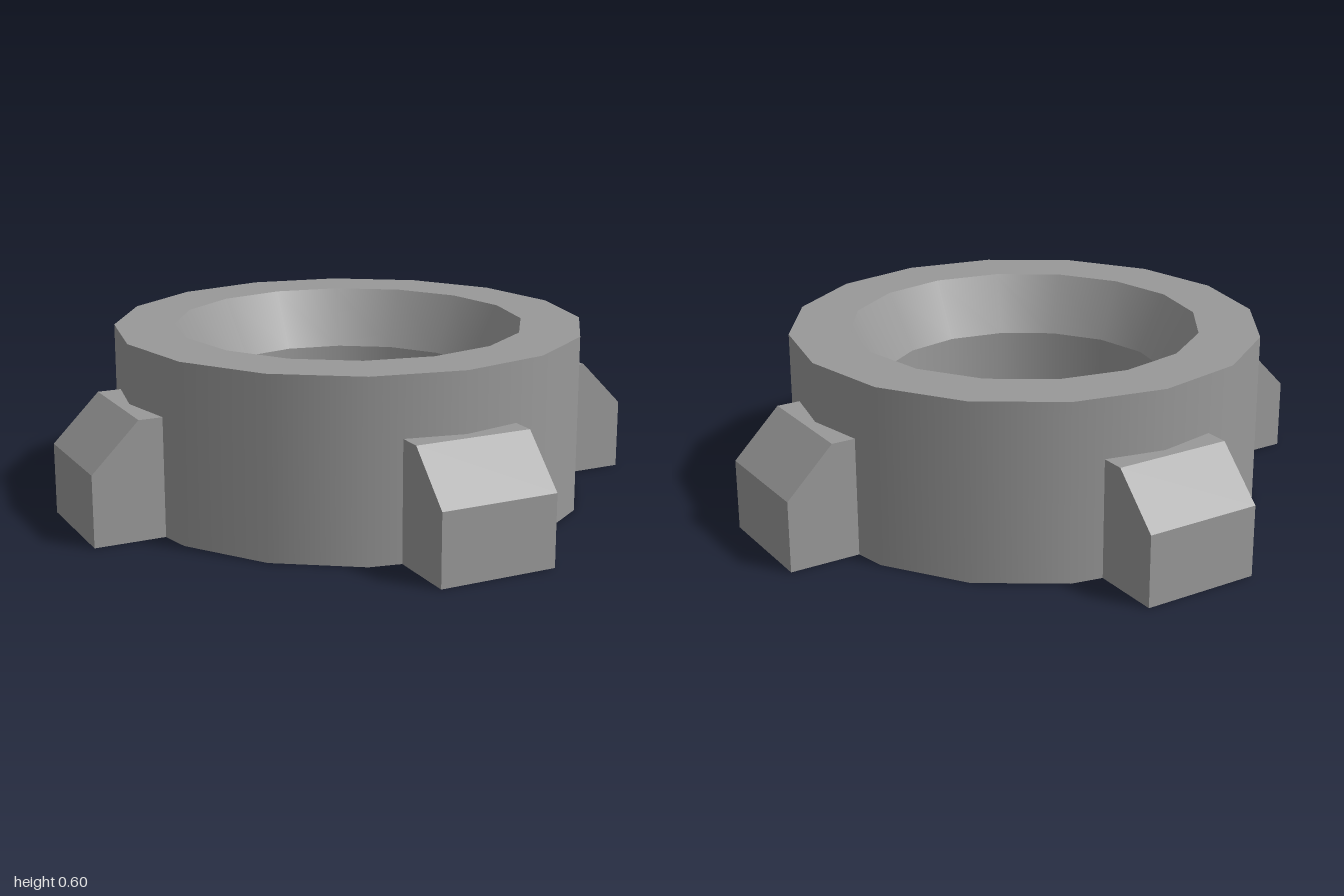
import * as THREE from 'three';

const SIDES = 16;
const material = new THREE.MeshStandardMaterial({ color: 0x999999, side: THREE.DoubleSide });

// One band of the ring, turned between two [radius, height] points;
// separate bands keep the rims sharp while each band stays smooth.
function band(name, from, to) {
  const points = [from, to].map(([r, y]) => new THREE.Vector2(r, y));
  const mesh = new THREE.Mesh(new THREE.LatheGeometry(points, SIDES), material);
  mesh.name = name;
  return mesh;
}

// Chamfered lug pointing along +x, hollow: open underneath and towards the ring.
function lugGeometry() {
  const half = 0.2;
  const profile = [[0.74, 0.4], [0.84, 0.4], [1, 0.24], [1, 0]];
  const outline = [...profile, [0.74, 0]];
  const positions = [];
  const addFace = (corners) => {
    for (let i = 1; i < corners.length - 1; i++) {
      positions.push(...corners[0], ...corners[i], ...corners[i + 1]);
    }
  };

  // top, chamfer and end
  for (let i = 0; i < profile.length - 1; i++) {
    const a = profile[i];
    const b = profile[i + 1];
    addFace([[...a, half], [...b, half], [...b, -half], [...a, -half]]);
  }
  // both cheeks
  addFace(outline.map((p) => [...p, -half]));
  addFace(outline.map((p) => [...p, half]).reverse());

  const geometry = new THREE.BufferGeometry();
  geometry.setAttribute('position', new THREE.Float32BufferAttribute(positions, 3));
  geometry.computeVertexNormals();
  return geometry;
}

export function createModel() {
  const model = new THREE.Group();
  model.name = 'luggedRing';

  // ring shell with a funnel-shaped recess, open underneath
  const ring = new THREE.Group();
  ring.name = 'ring';
  ring.add(
    band('outerWall', [0.8, 0], [0.8, 0.6]),
    band('topRim', [0.8, 0.6], [0.595, 0.6]),
    band('recessBevel', [0.595, 0.6], [0.495, 0.4]),
    band('recessWall', [0.495, 0.4], [0.495, 0.2]),
    band('recessFloor', [0.495, 0.2], [0, 0.2])
  );
  model.add(ring);

  // four lugs around the outside
  const geometry = lugGeometry();
  ['leftLug', 'backLug', 'rightLug', 'frontLug'].forEach((name, i) => {
    const lug = new THREE.Mesh(geometry, material);
    lug.name = name;
    lug.rotation.y = (i * Math.PI) / 2;
    model.add(lug);
  });

  return model;
}
